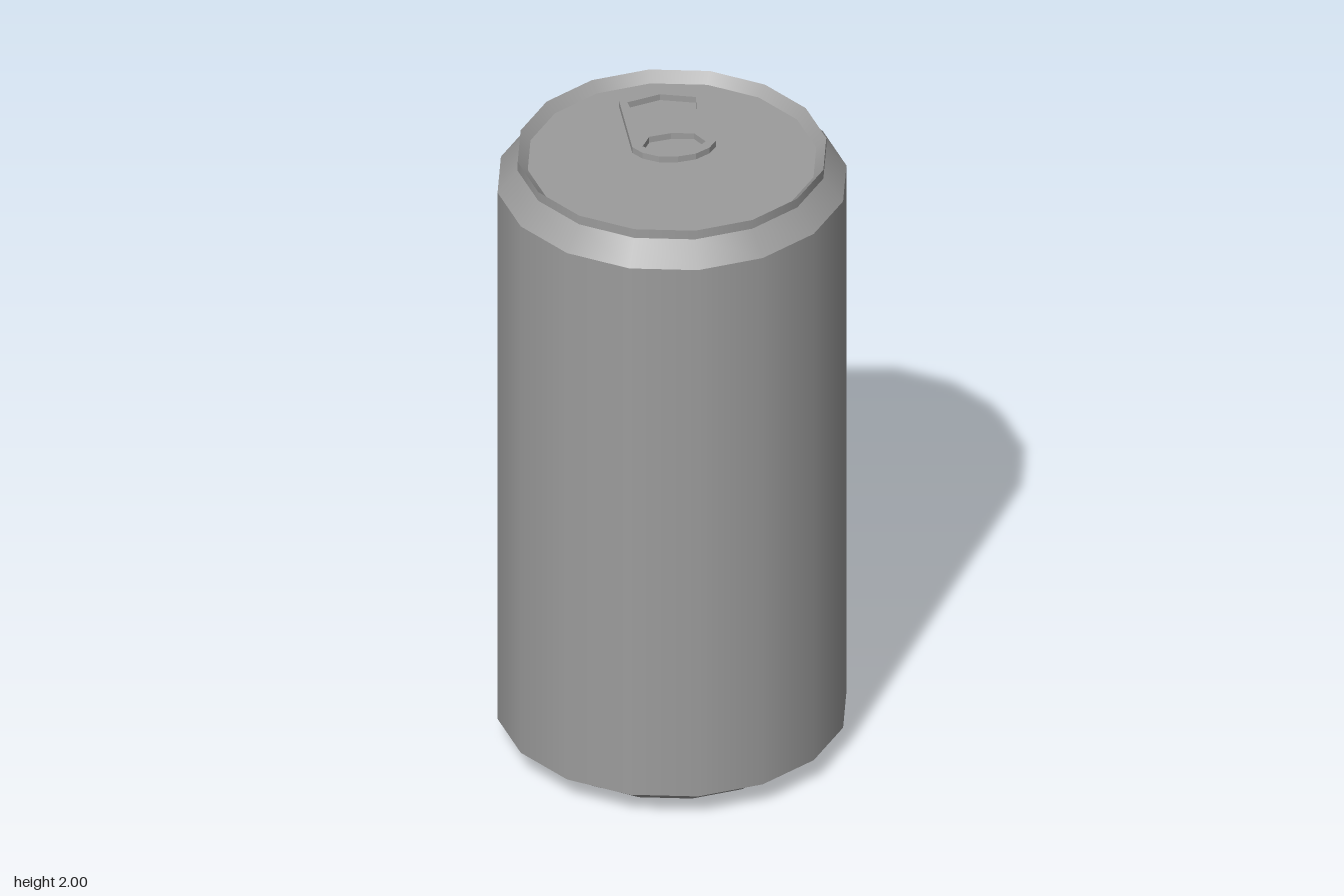
import * as THREE from 'three';

export function createModel() {
  const can = new THREE.Group();
  can.name = 'drinkCan';
  const metal = new THREE.MeshStandardMaterial({ color: 0x9c9c9c });
  metal.name = 'greyMetal';

  const add = (name, geometry) => {
    const mesh = new THREE.Mesh(geometry, metal);
    mesh.name = name;
    can.add(mesh);
    return mesh;
  };
  const points = (list) => list.map(([x, y]) => new THREE.Vector2(x, y));

  // Sixteen-sided bands: smooth around, with sharp edges between them.
  // Profiles run from the underside, up the outside, then in over the lid.
  const bands = {
    baseDisc: [[0, 0.035], [0.37, 0.035]],
    baseRecess: [[0.37, 0.035], [0.4, 0]],
    baseTaper: [[0.4, 0], [0.44, 0.04], [0.52, 0.08]],
    body: [[0.52, 0.08], [0.52, 1.9]],
    shoulder: [[0.52, 1.9], [0.46, 1.97]],
    rimOutside: [[0.46, 1.97], [0.46, 2]],
    rimInside: [[0.46, 2], [0.43, 1.97]],
    lid: [[0.43, 1.97], [0, 1.97]],
  };
  for (const [name, profile] of Object.entries(bands)) {
    add(name, new THREE.LatheGeometry(points(profile), 16));
  }

  // Pull tab: half outlines mirrored left to right (second value points to the back).
  const mirrored = (half) => points([
    ...half,
    ...half.filter(([x]) => x > 0).reverse().map(([x, y]) => [-x, y]),
  ]);
  const tab = new THREE.Shape(mirrored([
    [0, -0.022], [0.055, -0.014], [0.1, 0.014], [0.125, 0.05],
    [0.125, 0.319], [0.097, 0.362], [0, 0.379],
  ]));
  const fingerHole = [[0, 0.227], [0.095, 0.235], [0.102, 0.302], [0, 0.333]];
  const rivetHole = [
    [0, 0.05], [0.03, 0.039], [0.041, 0.019], [0.057, 0.014],
    [0.094, 0.05], [0.067, 0.1], [0, 0.111],
  ];
  for (const hole of [fingerHole, rivetHole]) tab.holes.push(new THREE.Path(mirrored(hole)));

  const tabGeometry = new THREE.ExtrudeGeometry(tab, { depth: 0.02, bevelEnabled: false });
  tabGeometry.rotateX(-Math.PI / 2);
  add('pullTab', tabGeometry).position.set(0.014, 1.97, 0);

  return can;
}
